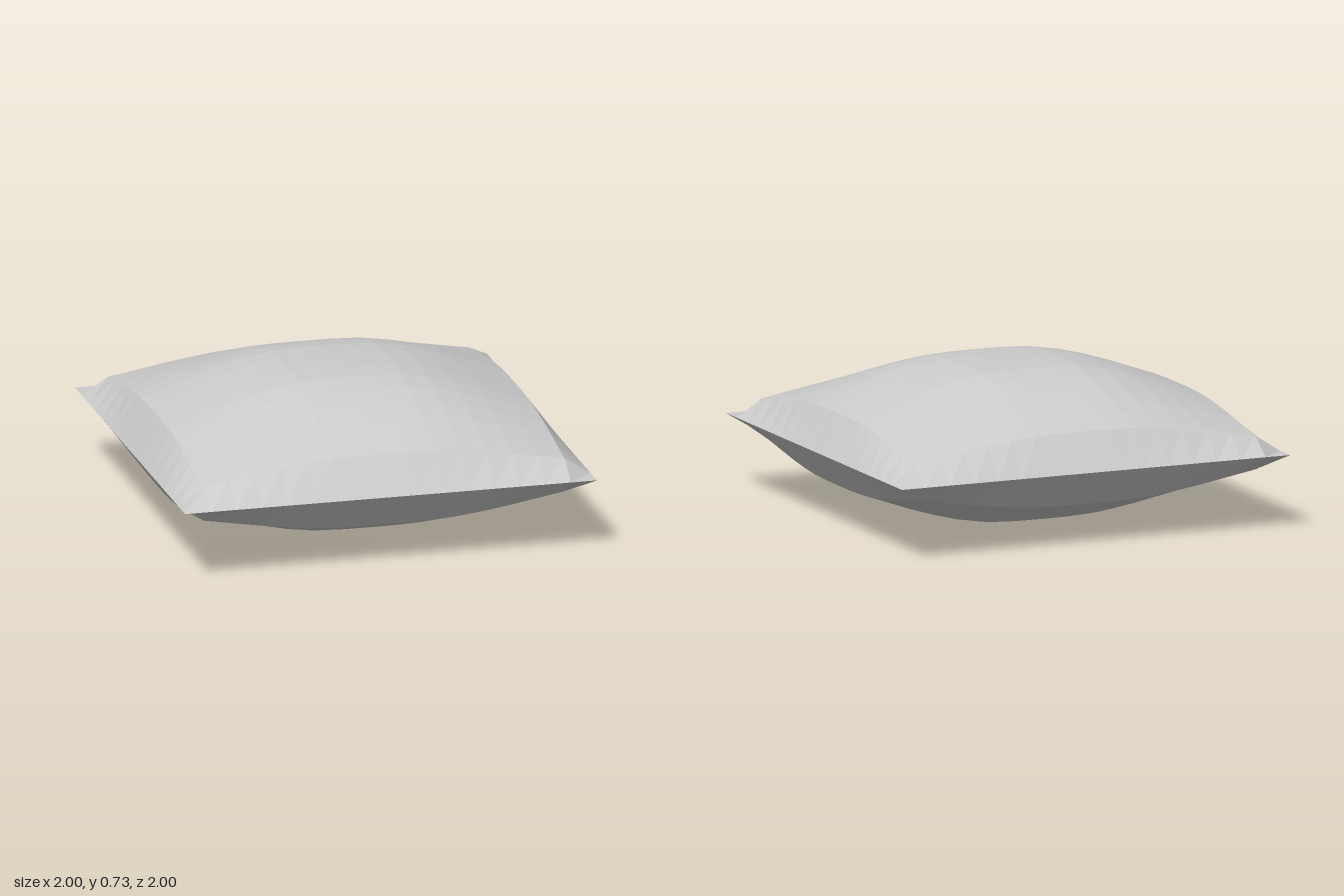
import * as THREE from 'three';

const N = 16;          // grid squares per side
const MID = 0.37;      // height of the seam
const PUFF = 0.367;    // swelling above and below the seam

// Swelling from the centre (first) to the seam (last)
const profile = [1, 0.998, 0.98, 0.92, 0.83, 0.72, 0.595, 0.472, 0];
const swell = (t) => profile[Math.round(Math.abs(t) * (N / 2))];

// One cushion half: a square grid bulged by the product of two profiles
function cushionHalf(name, side, material) {
  const geo = new THREE.PlaneGeometry(2, 2, N, N);
  geo.rotateX(-side * Math.PI / 2);
  const p = geo.attributes.position;
  for (let i = 0; i < p.count; i++) {
    p.setY(i, MID + side * PUFF * swell(p.getX(i)) * swell(p.getZ(i)));
  }
  geo.computeVertexNormals();
  const mesh = new THREE.Mesh(geo, material);
  mesh.name = name;
  return mesh;
}

export function createModel() {
  const group = new THREE.Group();
  group.name = 'cushion';
  const fabric = new THREE.MeshStandardMaterial({ color: 0xcccccc, flatShading: true });
  group.add(cushionHalf('cushionTop', 1, fabric));
  group.add(cushionHalf('cushionBottom', -1, fabric));
  return group;
}
